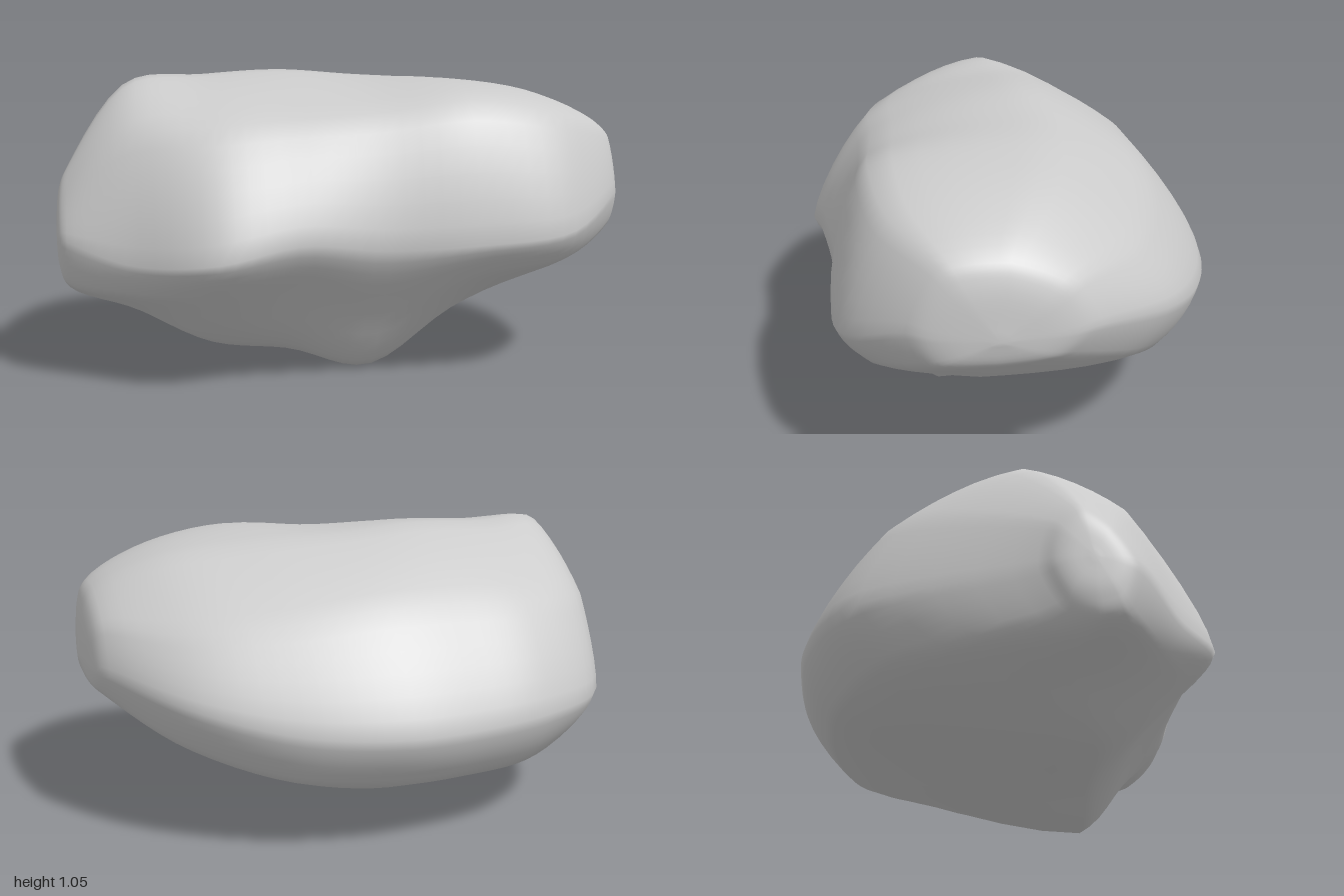
import * as THREE from 'three';
import { mergeVertices } from 'three/addons/utils/BufferGeometryUtils.js';

// Cross-sections along x. Each: x, then [z, y] pairs running round the stone:
// top front edge, front bulge, front lip, keel, lower back, back, upper back, crown
const SECTIONS = [
  [-0.96, 0.33, 0.66, 0.42, 0.5, 0.37, 0.35, 0.28, 0.32, 0.17, 0.36, 0.1, 0.5, 0.13, 0.66, 0.22, 0.73],
  [-0.75, 0.4, 0.85, 0.56, 0.44, 0.49, 0.32, 0.2, 0.22, -0.32, 0.29, -0.5, 0.47, -0.34, 0.79, 0.05, 1.01],
  [-0.48, 0.49, 0.88, 0.72, 0.46, 0.6, 0.32, 0.3, 0.11, -0.52, 0.25, -0.67, 0.47, -0.46, 0.82, -0.06, 1.03],
  [-0.2, 0.49, 0.9, 0.69, 0.51, 0.53, 0.3, 0.29, 0.07, -0.59, 0.25, -0.72, 0.46, -0.48, 0.84, -0.08, 1.045],
  [0.08, 0.5, 0.92, 0.65, 0.48, 0.48, 0.23, 0.29, 0, -0.59, 0.25, -0.725, 0.46, -0.48, 0.84, -0.1, 1.025],
  [0.4, 0.51, 0.96, 0.655, 0.49, 0.55, 0.36, 0.22, 0.18, -0.52, 0.28, -0.64, 0.48, -0.44, 0.8, -0.08, 1.005],
  [0.72, 0.46, 0.91, 0.62, 0.52, 0.53, 0.41, 0.17, 0.33, -0.34, 0.38, -0.46, 0.55, -0.32, 0.77, 0, 0.96],
  [0.94, 0.32, 0.83, 0.42, 0.62, 0.36, 0.5, 0.15, 0.48, -0.09, 0.51, -0.18, 0.61, -0.1, 0.76, 0.1, 0.85],
];
const AROUND = 48;
const ALONG = 60;
const CRISPNESS = 0.35;

// Closed loop through one section: a spline pulled part way to straight edges
function sectionLoop([x, ...zy]) {
  const pts = [];
  for (let i = 0; i < zy.length; i += 2) pts.push(new THREE.Vector3(x, zy[i + 1], zy[i]));
  const curve = new THREE.CatmullRomCurve3(pts, true, 'centripetal');
  return Array.from({ length: AROUND }, (_, i) => {
    const t = (i / AROUND) * pts.length;
    const k = Math.floor(t);
    const straight = pts[k].clone().lerp(pts[(k + 1) % pts.length], t - k);
    return curve.getPoint(i / AROUND).lerp(straight, CRISPNESS);
  });
}

// Copy of a loop drawn in towards the tip of an end, to round it off
function shrink(loop, tip, x, scale) {
  return loop.map((p) => p.clone().sub(tip).multiplyScalar(scale).add(tip).setX(x));
}

function stoneGeometry() {
  const loops = SECTIONS.map(sectionLoop);
  const first = loops[0];
  const last = loops[loops.length - 1];
  const leftTip = new THREE.Vector3(-1, 0.52, 0.27);
  const rightTip = new THREE.Vector3(1, 0.6, 0.14);
  loops.unshift(shrink(first, leftTip, -1, 0), shrink(first, leftTip, -0.99, 0.65));
  loops.push(shrink(last, rightTip, 0.978, 0.7), shrink(last, rightTip, 1, 0));

  // Lengthwise curves joining the loops
  const rails = first.map((_, i) =>
    new THREE.CatmullRomCurve3(loops.map((l) => l[i]), false, 'centripetal').getPoints(ALONG));

  const positions = [];
  const index = [];
  for (let j = 0; j <= ALONG; j++) {
    for (let i = 0; i < AROUND; i++) {
      const p = rails[i][j];
      positions.push(p.x, p.y, p.z);
      if (j === ALONG) continue;
      const a = j * AROUND + i;
      const b = j * AROUND + ((i + 1) % AROUND);
      const c = a + AROUND;
      const d = b + AROUND;
      // One triangle per step at the tips, two elsewhere
      if (j > 0) index.push(a, b, c);
      if (j < ALONG - 1) index.push(b, d, c);
    }
  }
  let geometry = new THREE.BufferGeometry();
  geometry.setAttribute('position', new THREE.Float32BufferAttribute(positions, 3));
  geometry.setIndex(index);
  geometry = mergeVertices(geometry, 1e-5);
  geometry.computeVertexNormals();

  // Stand the keel on the ground
  geometry.computeBoundingBox();
  geometry.translate(0, -geometry.boundingBox.min.y, 0);
  return geometry;
}

export function createModel() {
  const group = new THREE.Group();
  group.name = 'rock';
  const stone = new THREE.Mesh(stoneGeometry(), new THREE.MeshStandardMaterial({ color: 0xcccccc }));
  stone.name = 'boulder';
  group.add(stone);
  return group;
}
